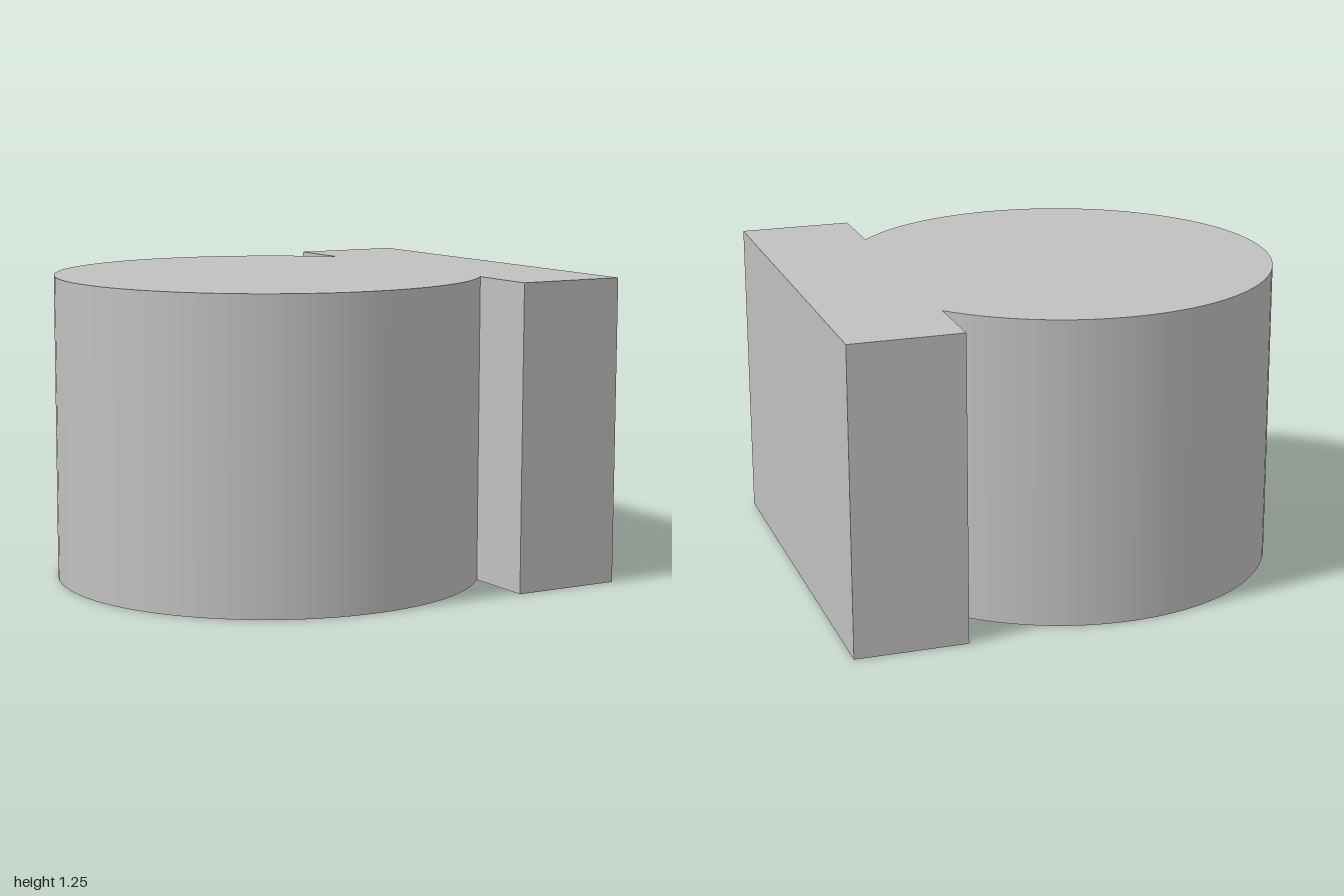
import * as THREE from 'three';

const H = 1.25, R = 0.875, CX = -0.125;         // height, barrel radius, barrel centre
const BORE = 0.6667, DEPTH = 1.0417;            // blind hole in the underside
const PX = 0.5417, PZ = 0.875;                  // plate inner face and half length
const A = Math.acos((PX - CX) / R);             // half angle where barrel meets plate
const JZ = R * Math.sin(A);                     // z of that junction
const SEG = 64;

function outline() {
  const s = new THREE.Shape();
  s.moveTo(PX, -PZ);
  s.lineTo(1, -PZ);
  s.lineTo(1, PZ);
  s.lineTo(PX, PZ);
  s.lineTo(PX, JZ);
  s.absarc(CX, 0, R, A, Math.PI * 2 - A, false);
  s.closePath();
  return s;
}

export function createModel() {
  const group = new THREE.Group();
  const grey = new THREE.MeshStandardMaterial({ color: 0xc0c0c0 });
  grey.name = 'plain grey';
  const add = (name, geometry, x = 0, y = 0, z = 0) => {
    const mesh = new THREE.Mesh(geometry, grey);
    mesh.name = name;
    mesh.position.set(x, y, z);
    group.add(mesh);
  };

  // closed top and pierced underside
  add('topFace', new THREE.ShapeGeometry(outline(), SEG / 2).rotateX(-Math.PI / 2), 0, H, 0);
  const pierced = outline();
  pierced.holes.push(new THREE.Path().absarc(CX, 0, BORE, 0, Math.PI * 2, true));
  add('bottomFace', new THREE.ShapeGeometry(pierced, SEG / 2).rotateX(Math.PI / 2));

  // round barrel wall, open where the plate joins
  add('barrelWall', new THREE.CylinderGeometry(R, R, H, SEG, 1, true,
    Math.PI / 2 + A, Math.PI * 2 - 2 * A), CX, H / 2, 0);

  // blind bore: inward-facing wall and ceiling
  const bore = new THREE.CylinderGeometry(BORE, BORE, DEPTH, SEG, 1, true);
  bore.scale(-1, 1, 1);                         // mirroring turns the faces inward
  const n = bore.attributes.normal;
  for (let i = 0; i < n.count; i++) n.setXYZ(i, -n.getX(i), 0, -n.getZ(i));
  add('boreWall', bore, CX, DEPTH / 2, 0);
  add('boreCeiling', new THREE.CircleGeometry(BORE, SEG).rotateX(Math.PI / 2), CX, DEPTH, 0);

  // flat mounting plate
  const wall = (name, width, angle, x, z) =>
    add(name, new THREE.PlaneGeometry(width, H).rotateY(angle), x, H / 2, z);
  wall('plateOuterFace', 2 * PZ, Math.PI / 2, 1, 0);
  for (const s of [1, -1]) {
    wall('plateEnd', 1 - PX, s > 0 ? 0 : Math.PI, (1 + PX) / 2, s * PZ);
    wall('plateInnerFace', PZ - JZ, -Math.PI / 2, PX, s * (PZ + JZ) / 2);
  }
  return group;
}
